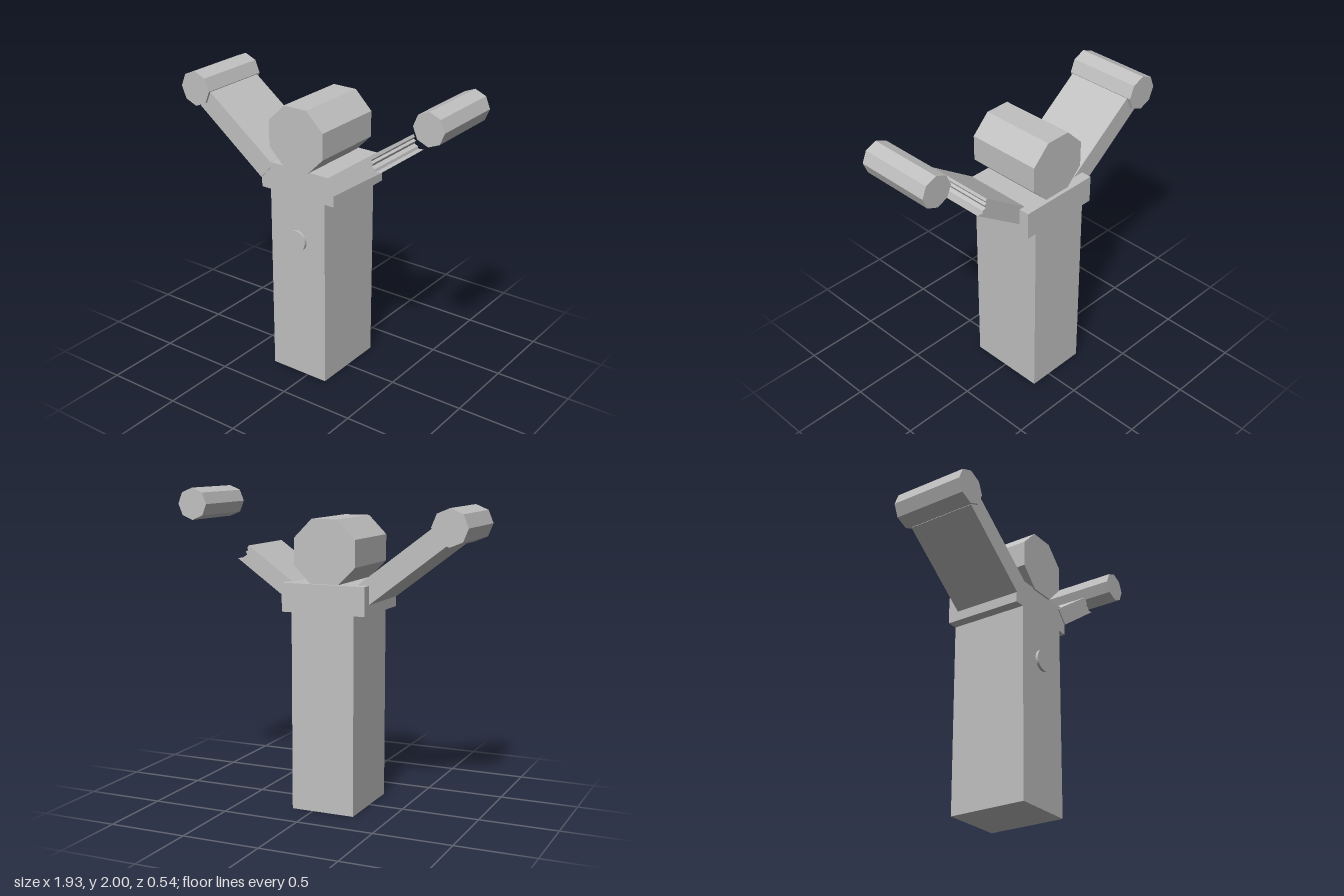
import * as THREE from 'three';

const grey = new THREE.MeshStandardMaterial({ color: 0xc0c0c0 });
grey.name = 'grey';

// Flat outline in x/y, extruded from zBack to zFront
function slab(name, points, zBack, zFront) {
  const shape = new THREE.Shape(points.map(([x, y]) => new THREE.Vector2(x, y)));
  const geometry = new THREE.ExtrudeGeometry(shape, { depth: zFront - zBack, bevelEnabled: false });
  geometry.translate(0, 0, zBack);
  const mesh = new THREE.Mesh(geometry, grey);
  mesh.name = name;
  return mesh;
}

// Regular outline with its first corner at the given angle
function ring(cx, cy, radius, sides, start = 0) {
  return Array.from({ length: sides }, (_, i) => {
    const a = start + (i / sides) * Math.PI * 2;
    return [cx + Math.cos(a) * radius, cy + Math.sin(a) * radius];
  });
}

export function createModel() {
  const model = new THREE.Group();
  model.name = 'figure';

  // Tall block body with wider shoulders
  model.add(slab('body', [
    [-0.275, 0], [0.14, 0], [0.14, 1.255], [0.207, 1.255], [0.207, 1.435],
    [-0.345, 1.435], [-0.345, 1.255], [-0.275, 1.255],
  ], -0.27, 0.25));

  // Octagonal head, flat side up
  model.add(slab('head', ring(-0.069, 1.627, 0.219, 8, Math.PI / 8), -0.245, 0.26));

  // Raised right arm reaching into its hand
  model.add(slab('rightArm', [
    [-0.345, 1.318], [-0.258, 1.417], [-0.273, 1.437], [-0.745, 1.795], [-0.83, 1.69],
  ], -0.2, 0.255));
  model.add(slab('rightHand', ring(-0.855, 1.798, 0.114, 8), -0.225, 0.27));

  // Broken left arm with a jagged end
  model.add(slab('leftArm', [
    [0.13, 1.408], [0.204, 1.325], [0.548, 1.565], [0.51, 1.562], [0.505, 1.578],
    [0.482, 1.59], [0.492, 1.61], [0.475, 1.618], [0.482, 1.632], [0.473, 1.648], [0.165, 1.435],
  ], -0.2, 0.257));

  // Detached left hand
  model.add(slab('leftHand', ring(0.861, 1.9, 0.102, 8), -0.225, 0.27));

  // Round button on the chest
  model.add(slab('button', ring(-0.069, 0.958, 0.069, 32), 0.24, 0.268));

  return model;
}
